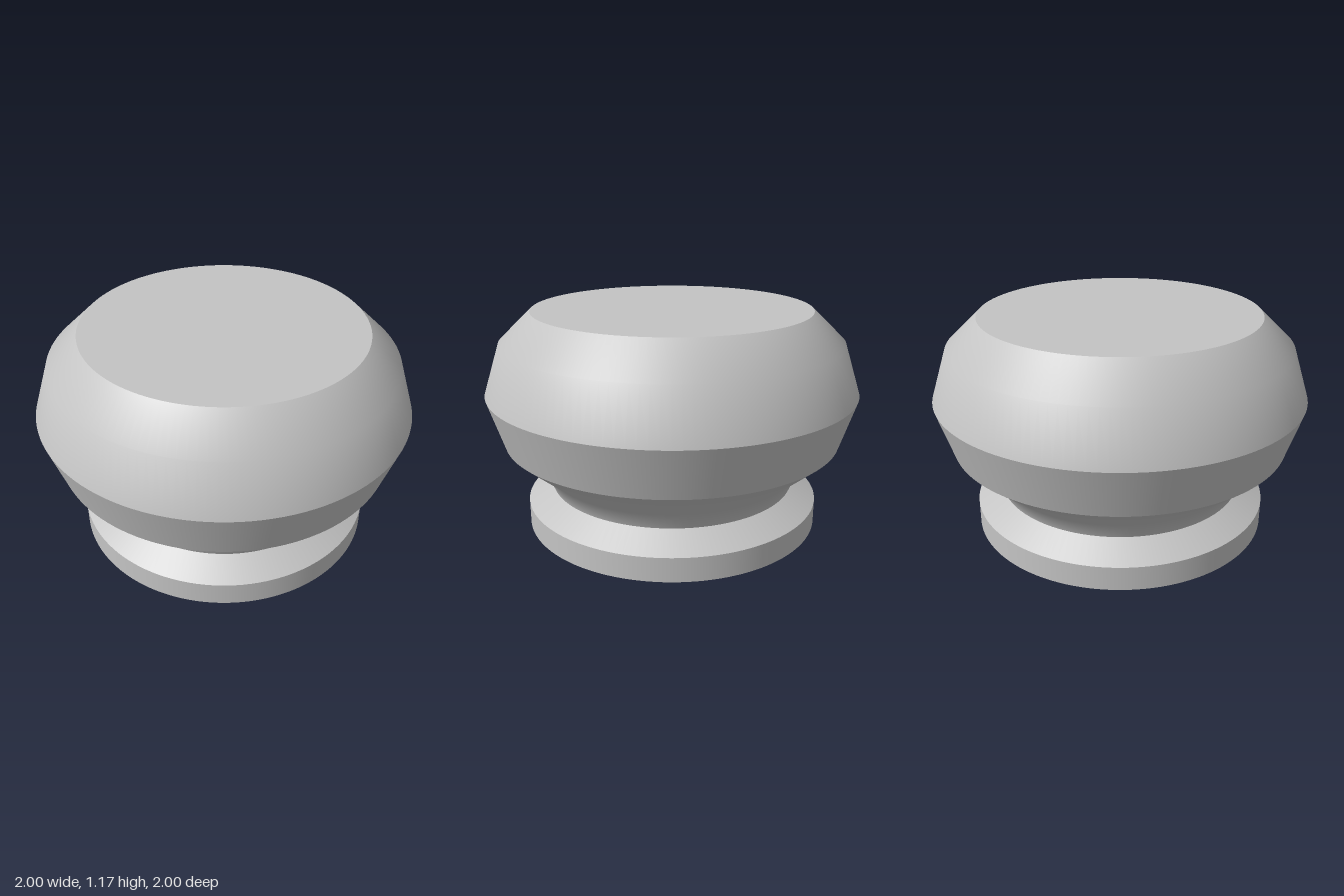
import * as THREE from 'three';

export function createModel() {
  const model = new THREE.Group();
  const grey = new THREE.MeshStandardMaterial({ color: 0xc4c4c4 });
  grey.name = 'light grey';

  // Each band is turned separately: edges between bands stay crisp, edges inside one are smooth.
  function band(name, profile, parent) {
    const points = profile.map(([r, y]) => new THREE.Vector2(r, y));
    const mesh = new THREE.Mesh(new THREE.LatheGeometry(points, 128), grey);
    mesh.name = name;
    parent.add(mesh);
  }

  // Round foot with a bevelled upper rim
  const foot = new THREE.Group();
  foot.name = 'foot';
  band('footUnderside', [[0, 0], [0.805, 0]], foot);
  band('footSide', [[0.805, 0], [0.805, 0.13]], foot);
  band('footBevel', [[0.805, 0.13], [0.67, 0.215]], foot);

  // Bulging knob on a narrow neck
  const knob = new THREE.Group();
  knob.name = 'knob';
  band('neck', [[0.67, 0.215], [0.703, 0.3], [0.915, 0.483]], knob);
  band('lowerKnob', [[0.915, 0.483], [1, 0.75]], knob);
  band('upperKnob', [[1, 0.75], [0.915, 1.013], [0.745, 1.175]], knob);
  band('knobTop', [[0.745, 1.175], [0, 1.175]], knob);

  model.add(foot, knob);
  return model;
}
